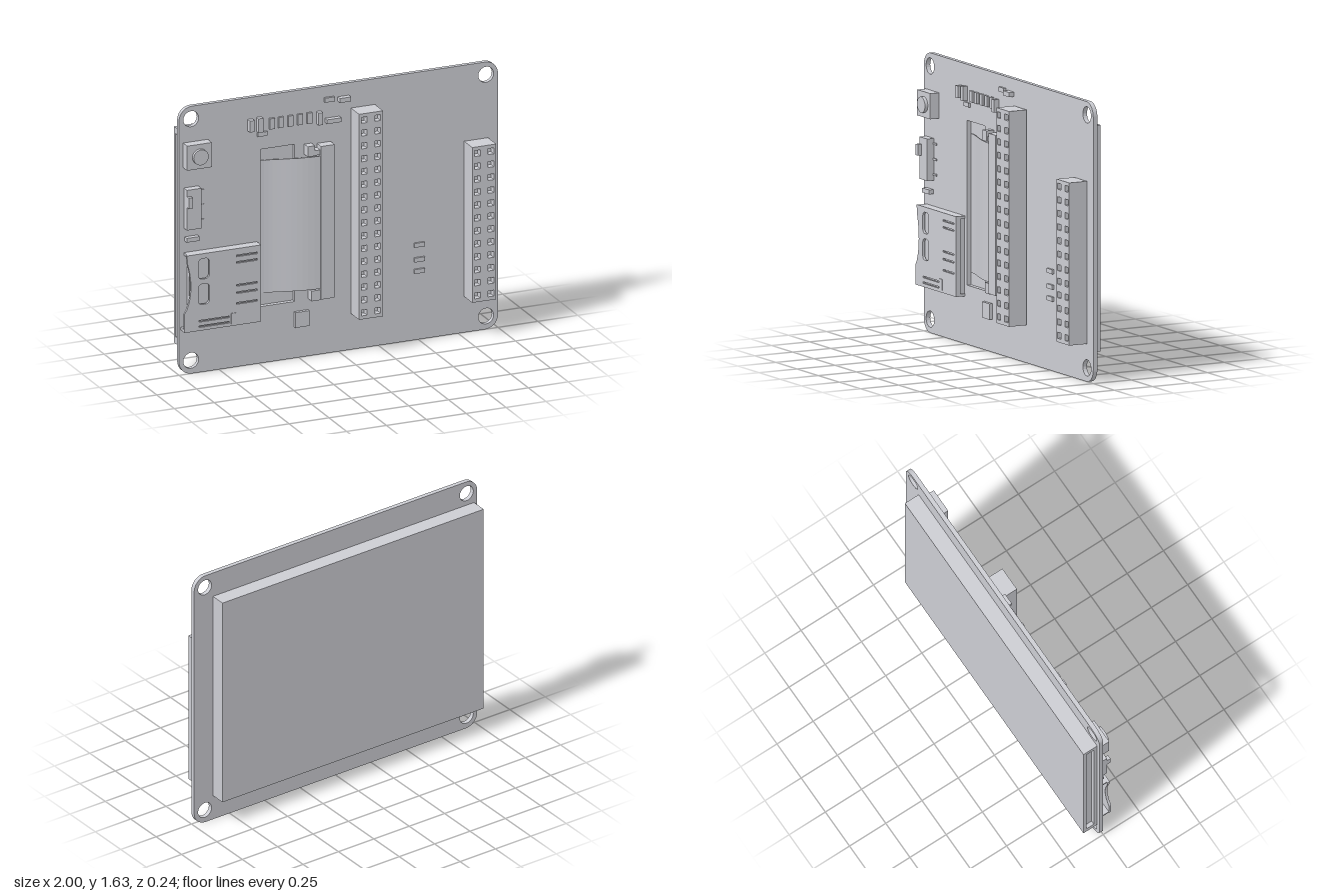
import * as THREE from 'three';

const grey = new THREE.MeshStandardMaterial({ color: 0xcccdd3 });
grey.name = 'plain grey';

export function createModel() {
  const model = new THREE.Group();
  model.name = 'displayBoard';

  const add = (name, geometry, parent = model) => {
    const mesh = new THREE.Mesh(geometry, grey);
    mesh.name = name;
    parent.add(mesh);
    return mesh;
  };
  // box given by its limits on each axis
  const block = (name, x0, x1, y0, y1, z0, z1, parent) => {
    const mesh = add(name, new THREE.BoxGeometry(x1 - x0, y1 - y0, z1 - z0), parent);
    mesh.position.set((x0 + x1) / 2, (y0 + y1) / 2, (z0 + z1) / 2);
    return mesh;
  };
  // rounded rectangle, usable as outline or hole
  const roundRect = (P, x0, x1, y0, y1, r) => {
    const p = new P();
    p.moveTo(x0 + r, y0);
    p.lineTo(x1 - r, y0);
    p.absarc(x1 - r, y0 + r, r, -Math.PI / 2, 0);
    p.lineTo(x1, y1 - r);
    p.absarc(x1 - r, y1 - r, r, 0, Math.PI / 2);
    p.lineTo(x0 + r, y1);
    p.absarc(x0 + r, y1 - r, r, Math.PI / 2, Math.PI);
    p.lineTo(x0, y0 + r);
    p.absarc(x0 + r, y0 + r, r, Math.PI, Math.PI * 1.5);
    return p;
  };
  const rect = (P, x0, x1, y0, y1) => new P([
    [x0, y0], [x1, y0], [x1, y1], [x0, y1],
  ].map(([x, y]) => new THREE.Vector2(x, y)));
  const plate = (name, shape, z0, z1, parent) => {
    const geometry = new THREE.ExtrudeGeometry(shape, { depth: z1 - z0, bevelEnabled: false, curveSegments: 10 });
    const mesh = add(name, geometry, parent);
    mesh.position.z = z0;
    return mesh;
  };

  // circuit board with mounting holes and a slot for the ribbon
  const board = roundRect(THREE.Shape, -1, 1, 0, 1.632, 0.08);
  for (const x of [-0.925, 0.925]) {
    for (const y of [0.08, 1.555]) {
      board.holes.push(new THREE.Path().absarc(x, y, 0.048, 0, Math.PI * 2));
    }
  }
  board.holes.push(rect(THREE.Path, -0.49, -0.275, 0.345, 1.305));
  plate('circuitBoard', board, -0.027, 0);

  // display on the back, with a long recess in one side
  const screen = new THREE.Group();
  screen.name = 'displayPanel';
  model.add(screen);
  block('panelBase', -0.978, 0.868, 0.157, 1.477, -0.05, -0.027, screen);
  block('panelCore', -0.955, 0.868, 0.2, 1.44, -0.1, -0.05, screen);
  block('panelGlass', -0.978, 0.868, 0.157, 1.477, -0.122, -0.1, screen);
  block('panelTopRail', -0.978, 0.868, 1.44, 1.477, -0.1, -0.05, screen);
  block('panelBottomRail', -0.978, 0.868, 0.157, 0.2, -0.1, -0.05, screen);

  // socket headers, two columns of square holes
  const header = (name, x0, x1, y0, y1, rows) => {
    const group = new THREE.Group();
    group.name = name;
    model.add(group);
    const face = rect(THREE.Shape, x0, x1, y0, y1);
    const mid = (x0 + x1) / 2;
    for (let i = 0; i < rows; i++) {
      const y = y0 + (i + 0.5) * (y1 - y0) / rows;
      for (const x of [mid - 0.042, mid + 0.042]) {
        face.holes.push(rect(THREE.Path, x - 0.018, x + 0.018, y - 0.018, y + 0.018));
      }
    }
    block(name + 'Base', x0, x1, y0, y1, 0.006, 0.08, group);
    plate(name + 'Sockets', face, 0.08, 0.122, group);
  };
  header('longHeader', 0.075, 0.225, 0.222, 1.477, 16);
  header('shortHeader', 0.785, 0.935, 0.222, 1.17, 12);

  // push button
  block('buttonBody', -0.975, -0.82, 1.265, 1.415, 0, 0.058);
  const cap = add('buttonCap', new THREE.CylinderGeometry(0.047, 0.047, 0.02, 24));
  cap.rotation.x = Math.PI / 2;
  cap.position.set(-0.895, 1.34, 0.067);

  // slide switch
  block('switchBody', -0.97, -0.88, 0.895, 1.14, 0, 0.045);
  block('switchKnob', -0.97, -0.945, 1.035, 1.1, 0.045, 0.07);
  for (const y of [0.93, 1.02, 1.11]) block('switchPin', -0.88, -0.845, y - 0.006, y + 0.006, 0, 0.006);

  // card slot: shell with a curved mouth, windows and spring cut-outs
  const shell = new THREE.Shape();
  shell.moveTo(-0.992, 0.277);
  shell.lineTo(-0.512, 0.277);
  shell.lineTo(-0.512, 0.745);
  shell.lineTo(-0.977, 0.745);
  shell.lineTo(-0.972, 0.69);
  shell.quadraticCurveTo(-0.93, 0.54, -0.975, 0.42);
  shell.lineTo(-0.992, 0.39);
  shell.closePath();
  for (const y of [0.435, 0.59]) shell.holes.push(roundRect(THREE.Path, -0.905, -0.835, y, y + 0.125, 0.025));
  for (const y of [0.41, 0.475, 0.52, 0.66, 0.7]) {
    shell.holes.push(rect(THREE.Path, -0.665, -0.535, y - 0.005, y + 0.005));
  }
  for (const y of [0.302, 0.335]) shell.holes.push(rect(THREE.Path, -0.9, -0.71, y - 0.005, y + 0.005));
  plate('cardSlotShell', shell, 0.045, 0.06);
  block('cardSlotFloor', -0.95, -0.52, 0.285, 0.74, 0, 0.03);
  block('cardSlotTopWall', -0.97, -0.512, 0.73, 0.745, 0, 0.045);
  block('cardSlotBottomWall', -0.99, -0.512, 0.277, 0.292, 0, 0.045);
  block('cardSlotEndWall', -0.525, -0.512, 0.292, 0.73, 0.03, 0.045);
  block('cardLatch', -0.7, -0.67, 0.29, 0.355, 0.06, 0.064);

  // ribbon cable rising from the slot to its connector, profile in x and z
  const ribbon = new THREE.Shape();
  ribbon.moveTo(-0.485, -0.022);
  ribbon.bezierCurveTo(-0.38, -0.015, -0.3, 0.04, -0.13, 0.048);
  ribbon.lineTo(-0.13, 0.043);
  ribbon.bezierCurveTo(-0.3, 0.034, -0.38, -0.02, -0.485, -0.027);
  const strip = new THREE.ExtrudeGeometry(ribbon, { depth: 0.81, bevelEnabled: false, curveSegments: 12 });
  strip.rotateX(Math.PI / 2);
  add('ribbonCable', strip).position.y = 1.228;

  // ribbon connector
  block('connectorBody', -0.135, -0.05, 0.355, 1.29, 0, 0.058);
  block('connectorLip', -0.19, -0.135, 0.42, 1.225, 0, 0.036);
  block('connectorTopTab', -0.215, -0.17, 1.235, 1.297, 0, 0.05);
  block('connectorTopClip', -0.17, -0.135, 1.235, 1.265, 0, 0.045);
  block('connectorBottomTab', -0.19, -0.135, 0.35, 0.412, 0, 0.05);

  // small surface parts: centre x, centre y, width, height, thickness
  [
    [-0.235, 0.237, 0.09, 0.093, 0.02],
    [-0.555, 1.465, 0.03, 0.07, 0.033],
    [-0.5, 1.462, 0.03, 0.085, 0.03],
    [-0.125, 1.448, 0.028, 0.075, 0.033],
    [-0.04, 1.423, 0.09, 0.026, 0.03],
    [0.03, 1.542, 0.07, 0.027, 0.033],
    [-0.06, 1.55, 0.06, 0.027, 0.015],
    [-0.48, 1.4, 0.06, 0.025, 0.012],
    [-0.925, 0.828, 0.08, 0.026, 0.03],
    ...[-0.42, -0.365, -0.305, -0.245, -0.185].map((x) => [x, 1.455, 0.03, 0.065, 0.014]),
    ...[0.42, 0.49, 0.58].map((y) => [0.505, y, 0.065, 0.026, 0.012]),
  ].forEach(([x, y, w, h, t]) => block('surfacePart', x - w / 2, x + w / 2, y - h / 2, y + h / 2, 0, t));

  return model;
}
